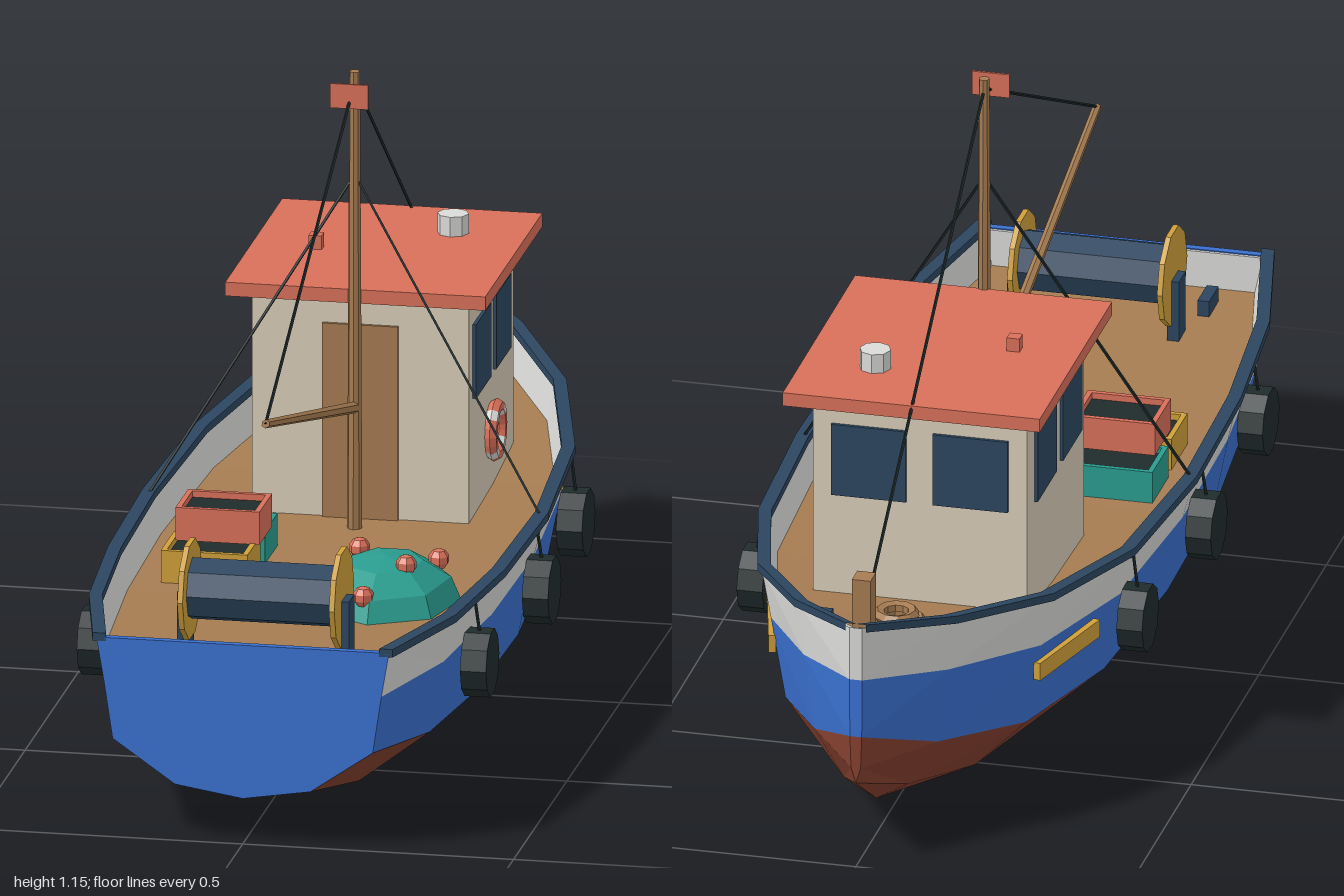
import * as THREE from 'three';

const mat = (name, color, side = THREE.FrontSide) => {
  const m = new THREE.MeshStandardMaterial({ color, flatShading: true, side });
  m.name = name;
  return m;
};
const blue = mat('hull blue', 0x3a70d0, THREE.DoubleSide);
const red = mat('bottom paint', 0x85402f, THREE.DoubleSide);
const white = mat('white', 0xdadbd8, THREE.DoubleSide);
const navy = mat('navy', 0x2c4660);
const wood = mat('wood', 0xa67c52);
const coral = mat('coral', 0xd9705a);
const cream = mat('cream', 0xd8cdb8);
const teal = mat('teal', 0x2a9d8f);
const yellow = mat('yellow', 0xd0a03a);
const black = mat('black', 0x1f2b2c);

// Hull stations, bow to stern: z, then x,y for sheer, band, chine, bilge, keel
const stations = [
  [-1, 0.012, 0.478, 0.012, 0.375, 0.011, 0.262, 0.009, 0.2, 0, 0.17],
  [-0.85, 0.145, 0.445, 0.135, 0.345, 0.115, 0.2, 0.06, 0.11, 0, 0.075],
  [-0.63, 0.27, 0.408, 0.252, 0.31, 0.225, 0.155, 0.13, 0.06, 0, 0.03],
  [-0.33, 0.345, 0.375, 0.325, 0.29, 0.295, 0.138, 0.175, 0.036, 0, 0.01],
  [0.04, 0.368, 0.36, 0.348, 0.283, 0.32, 0.135, 0.19, 0.03, 0, 0.004],
  [0.4, 0.36, 0.36, 0.342, 0.281, 0.314, 0.135, 0.184, 0.032, 0, 0.01],
  [0.72, 0.332, 0.367, 0.315, 0.284, 0.29, 0.15, 0.16, 0.05, 0, 0.03],
  [1, 0.27, 0.38, 0.256, 0.297, 0.24, 0.19, 0.125, 0.11, 0, 0.09],
];
const level = (s, k) => [s[1 + 2 * k], s[2 + 2 * k]];

function stationAt(z) {
  let i = 0;
  while (i < stations.length - 2 && stations[i + 1][0] < z) i++;
  const a = stations[i], b = stations[i + 1];
  const t = (z - a[0]) / (b[0] - a[0]);
  return a.map((v, k) => v + (b[k] - v) * t);
}
function hullX(z, y) {
  const s = stationAt(z);
  for (let k = 0; k < 4; k++) {
    const [x0, y0] = level(s, k), [x1, y1] = level(s, k + 1);
    if (y >= y1) return x1 + (x0 - x1) * (y - y1) / (y0 - y1);
  }
  return 0;
}
const deckY = (z) => stationAt(z)[2] - 0.072;

export function createModel() {
  const root = new THREE.Group();
  root.name = 'fishingBoat';

  const add = (name, geo, m, x = 0, y = 0, z = 0, parent = root) => {
    const mesh = new THREE.Mesh(geo, m);
    mesh.name = name;
    mesh.position.set(x, y, z);
    parent.add(mesh);
    return mesh;
  };
  const box = (name, m, w, h, d, x, y, z, parent) =>
    add(name, new THREE.BoxGeometry(w, h, d), m, x, y, z, parent);
  // Surface through rows of points; flip mirrors the winding
  const loft = (name, rows, m, flip = false) => {
    const pos = [];
    for (let i = 0; i < rows.length - 1; i++) {
      for (let j = 0; j < rows[i].length - 1; j++) {
        const a = rows[i][j], b = rows[i][j + 1], c = rows[i + 1][j], d = rows[i + 1][j + 1];
        pos.push(...(flip ? [a, b, c, b, d, c] : [a, c, b, b, c, d]).flat());
      }
    }
    const g = new THREE.BufferGeometry();
    g.setAttribute('position', new THREE.Float32BufferAttribute(pos, 3));
    g.computeVertexNormals();
    return add(name, g, m);
  };
  // Straight round bar between two points
  const rod = (name, m, p, q, r0, r1 = r0, sides = 6) => {
    const a = new THREE.Vector3(...p), b = new THREE.Vector3(...q), d = b.clone().sub(a);
    const mesh = add(name, new THREE.CylinderGeometry(r1, r0, d.length(), sides), m);
    mesh.position.copy(a).addScaledVector(d, 0.5);
    mesh.quaternion.setFromUnitVectors(new THREE.Vector3(0, 1, 0), d.normalize());
    return mesh;
  };

  // Hull sides, bulwarks and rails
  for (const s of [1, -1]) {
    const band = (name, from, to, m) => {
      const rows = stations.map((st) => {
        const row = [];
        for (let k = from; k <= to; k++) row.push([s * level(st, k)[0], level(st, k)[1], st[0]]);
        return row;
      });
      rows.unshift(rows[0].map(([, y, z]) => [0, y, z]));
      loft(name, rows, m, s < 0);
    };
    band('hullBand', 0, 1, white);
    band('hullSide', 1, 2, blue);
    band('hullBottom', 2, 4, red);

    loft('bulwarkInside', stations.map(([z, x, y]) => [
      [s * Math.max(x - 0.03, 0), y - 0.075, z], [s * Math.max(x - 0.014, 0), y, z],
    ]), white, s < 0);

    const rail = stations.map(([z, x, y]) => {
      const i = s * Math.max(x - 0.018, 0), o = s * (x + 0.007);
      return [[i, y + 0.008, z], [o, y + 0.008, z], [o, y - 0.007, z], [i, y - 0.007, z], [i, y + 0.008, z]];
    });
    rail.push(rail[rail.length - 1].map(() => [s * 0.264, 0.38, 1]));
    loft('rail', rail, navy, s < 0);
  }

  // Transom and deck
  const stern = stations[stations.length - 1];
  const half = [0, 1, 2, 3, 4].map((k) => level(stern, k));
  const outline = [...half, ...half.slice(0, 4).reverse().map(([x, y]) => [-x, y])];
  const transom = new THREE.Shape(outline.map(([x, y]) => new THREE.Vector2(x, y)));
  add('transom', new THREE.ExtrudeGeometry(transom, { depth: 0.015, bevelEnabled: false }), blue, 0, 0, 0.985);
  box('transomInside', white, 0.51, 0.07, 0.006, 0, 0.343, 0.982);
  loft('deck', stations.map(([z, x, y]) => {
    const w = Math.max(x - 0.025, 0.002);
    return [[-w, y - 0.072, z], [w, y - 0.072, z]];
  }), wood);

  // Wheelhouse
  box('cabin', cream, 0.4, 0.435, 0.42, 0, 0.4975, -0.315);
  box('roof', coral, 0.48, 0.026, 0.535, 0, 0.727, -0.3225);
  box('door', wood, 0.14, 0.375, 0.009, 0, 0.4725, -0.103);
  for (const s of [1, -1]) {
    for (const z of [-0.212, -0.4]) box('sideWindow', navy, 0.009, 0.14, 0.143, s * 0.202, 0.59, z);
    box('frontWindow', navy, 0.14, 0.14, 0.009, s * 0.095, 0.59, -0.527);
  }
  add('chimney', new THREE.CylinderGeometry(0.029, 0.029, 0.04, 8), white, 0.105, 0.757, -0.44);
  box('roofLamp', coral, 0.024, 0.028, 0.024, -0.12, 0.752, -0.3);

  // Lifebuoy with alternating arcs
  const buoy = new THREE.Group();
  buoy.name = 'lifebuoy';
  buoy.position.set(0.21, 0.413, -0.305);
  buoy.rotation.y = Math.PI / 2;
  root.add(buoy);
  for (let i = 0; i < 4; i++) {
    const long = add('buoyArc', new THREE.TorusGeometry(0.045, 0.013, 6, 4, 1.2), coral, 0, 0, 0, buoy);
    long.rotation.z = i * Math.PI / 2 + 0.185 + Math.PI / 4;
    const short = add('buoyStripe', new THREE.TorusGeometry(0.045, 0.013, 6, 1, Math.PI / 2 - 1.2), white, 0, 0, 0, buoy);
    short.rotation.z = i * Math.PI / 2 - 0.185 + Math.PI / 4;
  }

  // Mast, boom, flag and rigging
  rod('mast', wood, [0, 0.28, -0.05], [0, 1.155, -0.05], 0.014, 0.01, 8);
  rod('boom', wood, [0, 0.52, -0.045], [0, 0.735, 0.785], 0.011, 0.008);
  box('flag', coral, 0.07, 0.046, 0.005, 0, 1.122, 0);
  rod('boomStay', black, [0, 1.135, -0.05], [0, 0.735, 0.785], 0.003, 0.003, 4);
  rod('foreStay', black, [0, 1.135, -0.05], [0, 0.48, -0.93], 0.003, 0.003, 4);
  for (const s of [1, -1]) rod('shroud', black, [0, 0.96, -0.05], [s * 0.362, 0.362, 0.045], 0.003, 0.003, 4);

  // Foredeck post and rope coil
  box('bowPost', wood, 0.035, 0.19, 0.04, 0, 0.46, -0.94);
  [0.046, 0.032].forEach((r, i) => {
    const coil = add('ropeCoil', new THREE.TorusGeometry(r, 0.011, 5, 10), wood, 0, deckY(-0.7) + 0.012 + i * 0.016, -0.7);
    coil.rotation.x = -Math.PI / 2;
  });

  for (const s of [1, -1]) {
    // Cleats
    for (const [x, z] of [[0.12, -0.77], [0.178, 0.9]]) {
      box('cleat', navy, 0.022, 0.03, 0.07, s * x, deckY(z) + 0.015, z);
    }
    // Tyre fenders on short ropes
    for (const z of [0.575, 0.105, -0.32]) {
      const x = s * (stationAt(z)[1] + 0.009);
      const tyre = add('fender', new THREE.CylinderGeometry(0.063, 0.063, 0.048, 10), black, x, 0.243, z);
      tyre.rotation.z = Math.PI / 2;
      rod('fenderRope', black, [x, 0.3, z], [s * stationAt(z)[1], stationAt(z)[2], z], 0.003, 0.003, 4);
    }
    // Bow boards follow the hull side
    const z0 = -0.425, z1 = -0.64, y = 0.262;
    const x0 = hullX(z0, y), x1 = hullX(z1, y);
    const board = box('bowBoard', yellow, 0.014, 0.034, Math.hypot(x0 - x1, z0 - z1),
      s * ((x0 + x1) / 2 + 0.009), y, (z0 + z1) / 2);
    board.rotation.y = s * Math.atan2(x0 - x1, z0 - z1);
  }

  // Net drum
  const drum = add('netDrum', new THREE.CylinderGeometry(0.058, 0.058, 0.27, 8), navy, 0, 0.417, 0.785);
  drum.rotation.z = Math.PI / 2;
  for (const s of [1, -1]) {
    const disc = add('drumFlange', new THREE.CylinderGeometry(0.093, 0.093, 0.01, 10), yellow, s * 0.14, 0.415, 0.785);
    disc.rotation.z = Math.PI / 2;
    box('drumLeg', navy, 0.022, 0.125, 0.05, s * 0.148, 0.352, 0.785);
  }

  // Open crates with dark contents
  const crate = (m, x, y, z, w, d) => {
    const g = new THREE.Group();
    g.name = 'crate';
    g.position.set(x, y, z);
    root.add(g);
    const h = 0.062, t = 0.01;
    for (const s of [1, -1]) {
      box('crateSide', m, t, h, d, s * (w - t) / 2, h / 2, 0, g);
      box('crateEnd', m, w - 2 * t, h, t, 0, h / 2, s * (d - t) / 2, g);
    }
    box('crateContents', black, w - 2 * t, h - 0.012, d - 2 * t, 0, (h - 0.012) / 2, 0, g);
  };
  crate(teal, -0.2, 0.287, 0.135, 0.165, 0.12);
  crate(yellow, -0.2, 0.287, 0.285, 0.16, 0.12);
  crate(coral, -0.19, 0.347, 0.212, 0.155, 0.118);

  // Net heap with floats
  const net = add('netHeap', new THREE.SphereGeometry(1, 7, 3, Math.PI / 2, Math.PI * 2, 0, Math.PI / 2), teal, 0.14, 0.285, 0.375);
  net.scale.set(0.137, 0.09, 0.172);
  for (const [x, y, z] of [[0.08, 0.365, 0.31], [0.222, 0.345, 0.287], [0.187, 0.37, 0.417], [0.127, 0.335, 0.513]]) {
    add('netFloat', new THREE.SphereGeometry(0.02, 7, 5), coral, x, y, z);
  }
  return root;
}
